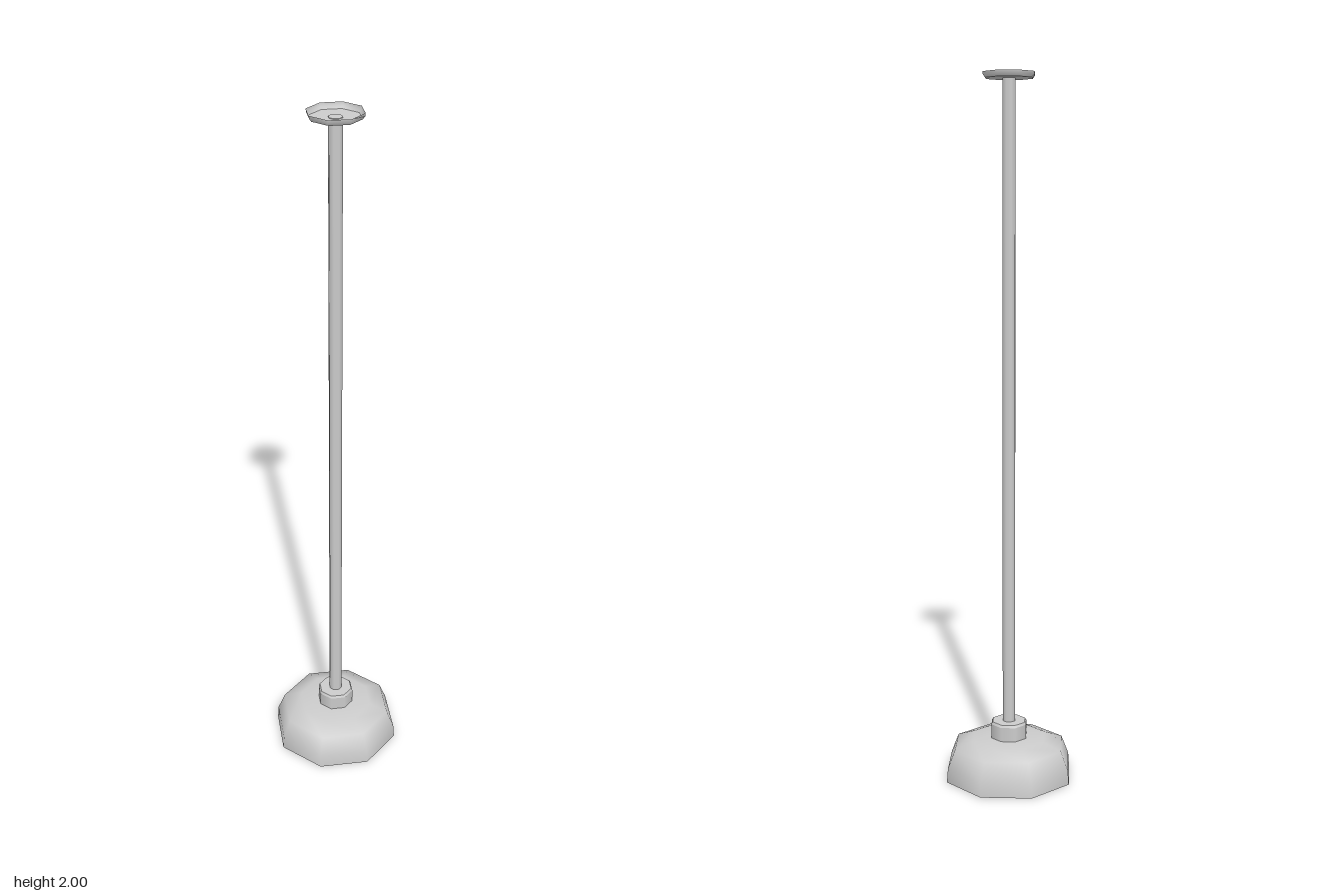
import * as THREE from 'three';

const material = new THREE.MeshStandardMaterial({ color: 0xcccccc, side: THREE.DoubleSide });

// Eight-sided turned part; each profile is smooth, with a hard edge between profiles.
function turned(name, ...profiles) {
  const group = new THREE.Group();
  group.name = name;
  profiles.forEach((profile, i) => {
    const points = profile.map(([r, y]) => new THREE.Vector2(r, y));
    const mesh = new THREE.Mesh(new THREE.LatheGeometry(points, 8), material);
    mesh.name = `${name}Surface${i + 1}`;
    group.add(mesh);
  });
  return group;
}

export function createModel() {
  const model = new THREE.Group();
  model.name = 'pendantLamp';

  // Hollow shade: outside, top, rim and inside
  model.add(turned('shade',
    [[0.19, 0], [0.187, 0.04], [0.165, 0.095], [0.11, 0.115], [0.05, 0.117]],
    [[0.178, 0], [0.19, 0]],
    [[0, 0.105], [0.106, 0.104], [0.155, 0.086], [0.175, 0.038], [0.178, 0]]));

  // Collar joining shade and rod
  model.add(turned('collar',
    [[0.054, 0.11], [0.054, 0.158]],
    [[0.054, 0.158], [0.05, 0.165]],
    [[0.05, 0.165], [0, 0.165]]));

  // Long hanging rod
  model.add(turned('rod',
    [[0.019, 0.16], [0.019, 1.986]],
    [[0.019, 1.986], [0, 1.986]]));

  // Shallow ceiling dish, open at the top
  model.add(turned('ceilingDish',
    [[0, 1.984], [0.069, 1.984]],
    [[0.069, 1.984], [0.075, 1.992], [0.076, 2]]));

  // Bulb and its socket
  const bulb = new THREE.Mesh(new THREE.SphereGeometry(0.046, 16, 12), material);
  bulb.name = 'bulb';
  bulb.position.y = 0.055;
  model.add(bulb);
  model.add(turned('socket', [[0.024, 0.08], [0.024, 0.106]]));

  return model;
}
